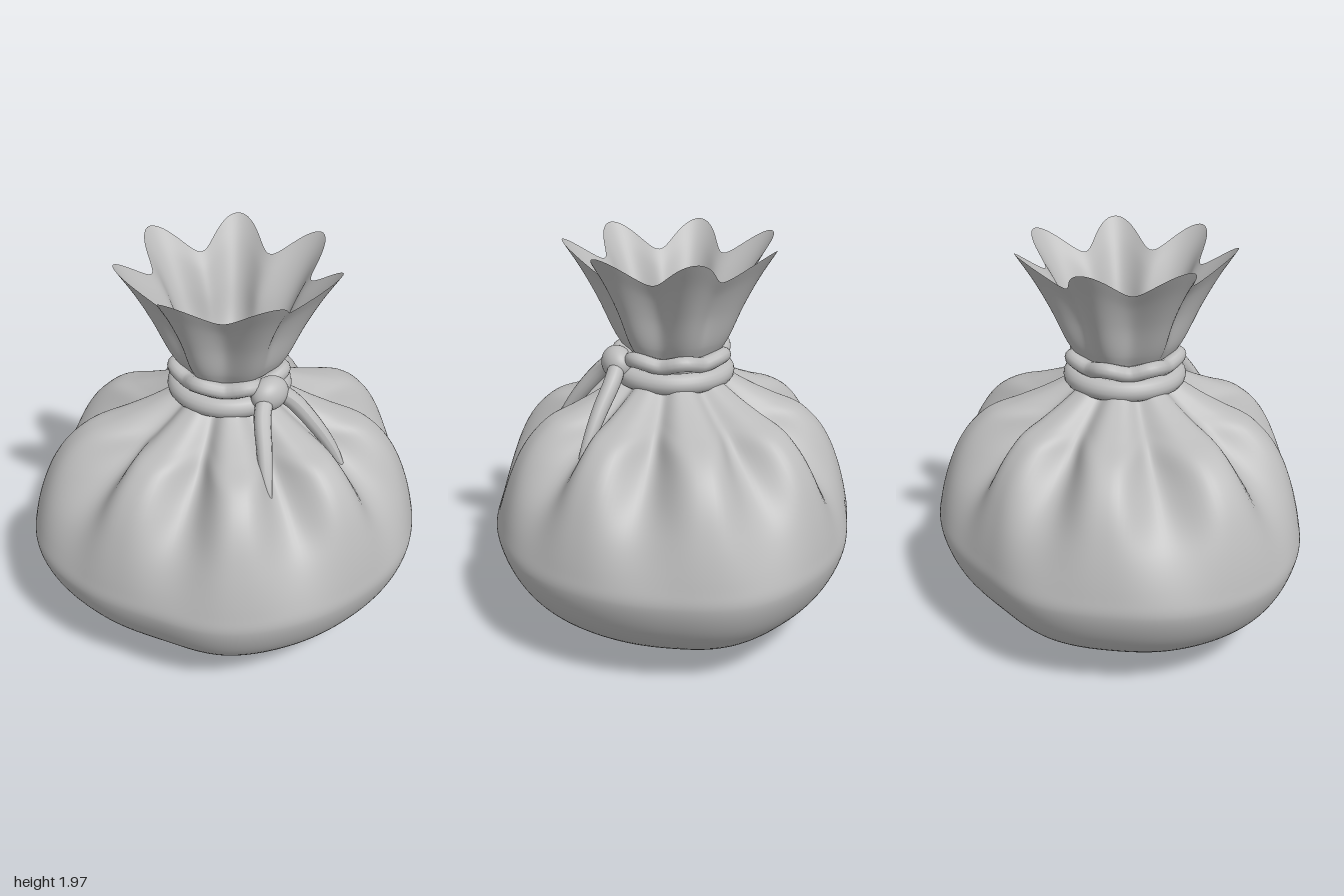
import * as THREE from 'three';

const cloth = new THREE.MeshStandardMaterial({ color: 0xbcbcbc, side: THREE.DoubleSide });
cloth.name = 'grey cloth';
const NECK_X = -0.025;
const rad = THREE.MathUtils.degToRad;

// Smooth closed surface from rings: point(t, a) with t upward and a from +x towards +z
function ringSurface(rows, cols, point) {
  const pos = [], idx = [];
  for (let i = 0; i <= rows; i++) {
    for (let j = 0; j < cols; j++) {
      pos.push(...point(i / rows, (j / cols) * Math.PI * 2));
      if (i === rows) continue;
      const k = (j + 1) % cols;
      const a = i * cols + j, b = i * cols + k, c = a + cols, d = b + cols;
      idx.push(a, c, b, b, c, d);
    }
  }
  const g = new THREE.BufferGeometry();
  g.setAttribute('position', new THREE.Float32BufferAttribute(pos, 3));
  g.setIndex(idx);
  g.computeVertexNormals();
  return g;
}

const curve = (points, closed = false) =>
  new THREE.CatmullRomCurve3(points.map(p => new THREE.Vector3(...p)), closed, 'centripetal');

// Uneven plan outline of the belly, one radius every 22.5 degrees
const outline = [1, 0.955, 0.937, 0.935, 0.92, 0.93, 0.95, 0.92, 0.97, 1.03, 1.02, 0.97, 0.95, 0.89, 0.91, 0.95];
function planRadius(a) {
  const u = (a / (Math.PI * 2)) * 16, i = Math.floor(u), f = u - i;
  const v = k => outline[(i + k + 16) % 16];
  const [p, q, r, s] = [v(-1), v(0), v(1), v(2)];
  return q + 0.5 * f * (r - p + f * (2 * p - 5 * q + 4 * r - s + f * (3 * (q - r) + s - p)));
}

// Belly: profile of radius, height and pleat depth, with nine gathered pleats
const bellyProfile = curve([
  [0.001, 0.01, 0], [0.3, 0.022, 0], [0.57, 0.09, 0], [0.8, 0.22, 0], [0.93, 0.36, 0],
  [0.995, 0.52, 0], [0.985, 0.62, 0.01], [0.94, 0.8, 0.06], [0.87, 0.97, 0.16],
  [0.79, 1.08, 0.22], [0.7, 1.15, 0.21], [0.55, 1.205, 0.15], [0.4, 1.265, 0.09],
  [0.28, 1.33, 0.05], [0.23, 1.38, 0.025], [0.2, 1.45, 0.015],
]);
function bellyPoint(t, a) {
  const p = bellyProfile.getPoint(t);
  const low = 1 - THREE.MathUtils.smoothstep(p.y, 1.1, 1.4);
  const valley = Math.pow((1 - Math.cos(9 * (a - rad(90)))) / 2, 1.6);
  const r = p.x * THREE.MathUtils.lerp(1, planRadius(a), low) - Math.max(p.z, 0) * valley;
  return [r * Math.cos(a) + NECK_X * (1 - low), p.y, r * Math.sin(a)];
}

// Collar: seven flutes that widen towards a scalloped rim
const collarProfile = curve([
  [0.2, 1.4, 0.01], [0.22, 1.44, 0.015], [0.265, 1.52, 0.025],
  [0.325, 1.68, 0.045], [0.39, 1.81, 0.06], [0.46, 1.92, 0.075],
]);
function collarPoint(t, a) {
  const p = collarProfile.getPoint(t);
  const wave = Math.cos(7 * (a - rad(-95)));
  const r = p.x + p.z * wave;
  return [NECK_X + r * Math.cos(a), p.y + 0.065 * wave * t * t, r * Math.sin(a)];
}

// Tube that narrows to a point at its far end
function taperedTube(path, radius) {
  const rows = 24, sides = 12;
  const g = new THREE.TubeGeometry(path, rows, radius, sides);
  const pos = g.attributes.position, v = new THREE.Vector3();
  for (let i = 0; i <= rows; i++) {
    const c = path.getPointAt(i / rows);
    const s = Math.sqrt(Math.max(1 - Math.pow(i / rows, 2.2), 0.0004));
    for (let j = 0; j <= sides; j++) {
      const n = i * (sides + 1) + j;
      v.fromBufferAttribute(pos, n).sub(c).multiplyScalar(s).add(c);
      pos.setXYZ(n, v.x, v.y, v.z);
    }
  }
  g.computeVertexNormals();
  return g;
}

export function createModel() {
  const sack = new THREE.Group();
  sack.name = 'tiedSack';
  const add = (name, geometry) => {
    const m = new THREE.Mesh(geometry, cloth);
    m.name = name;
    sack.add(m);
    return m;
  };

  add('belly', ringSurface(90, 216, bellyPoint));
  add('collar', ringSurface(30, 168, collarPoint));

  // Two turns of cord around the neck, the upper one following the flutes
  const lower = add('lowerCord', new THREE.TorusGeometry(0.25, 0.052, 16, 80));
  lower.rotation.x = Math.PI / 2;
  lower.position.set(NECK_X, 1.34, 0);
  const loop = [];
  for (let i = 0; i < 56; i++) {
    const a = (i / 56) * Math.PI * 2, w = Math.cos(7 * (a - rad(-95)));
    const r = 0.25 + 0.014 * w;
    loop.push([NECK_X + r * Math.cos(a), 1.432 + 0.012 * w, r * Math.sin(a)]);
  }
  add('upperCord', new THREE.TubeGeometry(curve(loop, true), 112, 0.038, 12, true));

  // Knot and its two hanging tails
  const knot = add('knot', new THREE.SphereGeometry(1, 32, 24));
  knot.scale.set(0.1, 0.083, 0.075);
  knot.position.set(-0.03, 1.4, 0.29);
  for (const side of [-1, 1]) {
    const path = curve([
      [0.04, 1.4, 0.3], [0.1, 1.34, 0.345], [0.165, 1.22, 0.43], [0.215, 1.1, 0.5], [0.245, 0.98, 0.56],
    ].map(([x, y, z]) => [NECK_X + side * x, y, z]));
    add(side > 0 ? 'leftTail' : 'rightTail', taperedTube(path, 0.042));
  }
  return sack;
}
